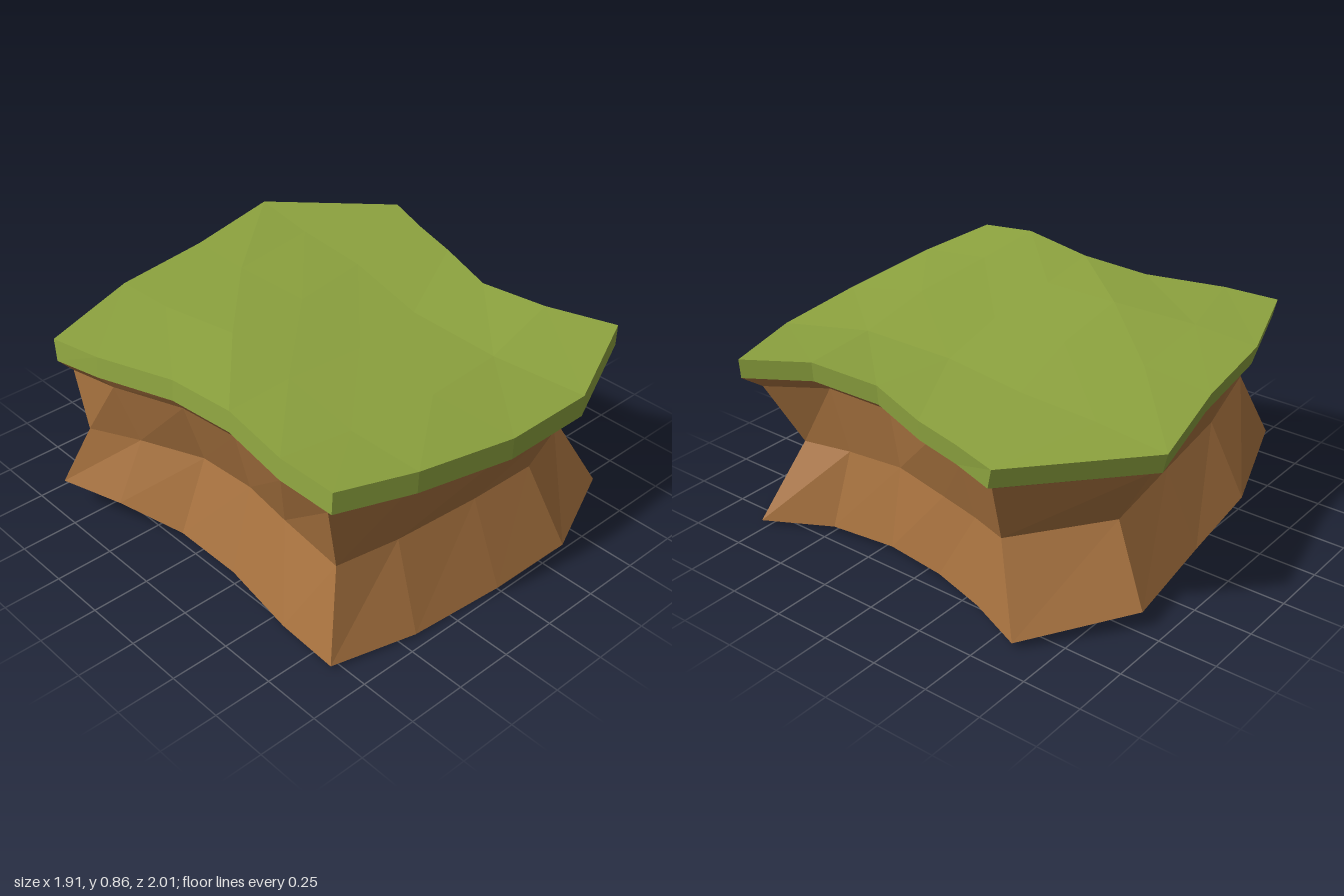
import * as THREE from 'three';

const COLS = 4, ROWS = 5; // grid cells across (x) and deep (z)

// Outlines run from the front right corner (-x,+z) counterclockwise seen from above:
// 4 front steps, 5 along +x, 4 back, 5 along -x.
const outline = [
  [-0.79, 0.87], [-0.45, 0.95], [0, 1], [0.43, 0.98],
  [0.87, 0.79], [0.74, 0.51], [0.71, 0.19], [0.82, -0.12], [0.88, -0.35],
  [0.95, -0.57], [0.5, -1], [0.02, -0.88], [-0.44, -0.81],
  [-0.91, -0.64], [-0.87, -0.4], [-0.76, -0.06], [-0.745, 0.26], [-0.81, 0.62],
];
const topY = [0.84, 0.8, 0.75, 0.73, 0.78, 0.8, 0.785, 0.78, 0.785,
  0.79, 0.8, 0.805, 0.81, 0.81, 0.82, 0.83, 0.845, 0.86];
const waistXZ = [
  [-0.68, 0.77], [-0.4, 0.81], [0, 0.83], [0.32, 0.83],
  [0.66, 0.67], [0.62, 0.45], [0.6, 0.19], [0.67, -0.1], [0.72, -0.3],
  [0.775, -0.47], [0.42, -0.75], [0, -0.69], [-0.43, -0.63],
  [-0.87, -0.51], [-0.76, -0.31], [-0.64, -0.05], [-0.62, 0.21], [-0.65, 0.45],
];
const footXZ = [
  [-0.79, 0.86], [-0.43, 0.95], [0, 0.98], [0.4, 0.98],
  [0.83, 0.79], [0.69, 0.5], [0.66, 0.2], [0.71, -0.1], [0.8, -0.37],
  [0.88, -0.6], [0.48, -0.91], [0, -0.845], [-0.43, -0.8],
  [-0.96, -0.61], [-0.87, -0.34], [-0.75, -0.08], [-0.73, 0.22], [-0.78, 0.58],
];
const footY = [0.015, 0.01, 0.005, 0, 0.01, 0.02, 0.025, 0.04, 0.055,
  0.03, 0.08, 0.09, 0.11, 0.14, 0.13, 0.06, 0.03, 0.02];

// Gentle lumps of the grass, front row to back row
const bumps = [
  [0.0, 0.015, 0.005], [0.01, 0.015, 0.01], [0.035, 0.035, 0.02], [0.015, 0.025, 0.01],
];

const V = (x, y, z) => new THREE.Vector3(x, y, z);

// Faceted wall joining a lower ring to an upper ring
function wall(out, low, high) {
  low.forEach((a, i) => {
    const j = (i + 1) % low.length;
    out.push(a, low[j], high[j], a, high[j], high[i]);
  });
}

// Surface filling a ring, blended from its four sides
function patch(out, ring, faceDown, lumps) {
  const n = ring.length;
  const front = i => ring[i], back = i => ring[2 * COLS + ROWS - i];
  const right = j => ring[COLS + j], left = j => ring[(n - j) % n];
  const mix = (a, b, t) => a.clone().lerp(b, t);
  const point = (i, j) => {
    if (j === 0) return front(i);
    if (j === ROWS) return back(i);
    if (i === 0) return left(j);
    if (i === COLS) return right(j);
    const u = i / COLS, v = j / ROWS;
    const corners = mix(mix(front(0), front(COLS), u), mix(back(0), back(COLS), u), v);
    const p = mix(front(i), back(i), v).add(mix(left(j), right(j), u)).sub(corners);
    if (lumps) p.y += lumps[j - 1][i - 1];
    return p;
  };
  for (let j = 0; j < ROWS; j++) {
    for (let i = 0; i < COLS; i++) {
      const a = point(i, j), b = point(i + 1, j), c = point(i + 1, j + 1), d = point(i, j + 1);
      if (faceDown) out.push(a, c, b, a, d, c);
      else out.push(a, b, c, a, c, d);
    }
  }
}

function facetedMesh(name, points, color) {
  const geometry = new THREE.BufferGeometry().setFromPoints(points);
  geometry.computeVertexNormals();
  const mesh = new THREE.Mesh(geometry, new THREE.MeshStandardMaterial({ color, flatShading: true }));
  mesh.name = name;
  return mesh;
}

export function createModel() {
  const model = new THREE.Group();
  model.name = 'grassyRockPlatform';

  const top = outline.map(([x, z], i) => V(x, topY[i], z));
  const rim = outline.map(([x, z], i) => V(x - 0.01, topY[i] - 0.088, z < -0.5 ? z + 0.025 : z + 0.005));
  const ledge = outline.map(([x, z], i) => V(x * 0.94 - 0.02, topY[i] - 0.132, z * 0.92 + 0.015));
  const waist = waistXZ.map(([x, z]) => V(x, 0.39 - 0.02 * x - 0.025 * z, z));
  const foot = footXZ.map(([x, z], i) => V(x, footY[i], z));

  // Grass slab: lumpy top and upright edge
  const grass = [];
  patch(grass, top, false, bumps);
  wall(grass, rim, top);
  model.add(facetedMesh('grassTop', grass, 0x8da33f));

  // Earth: overhanging lip, pinched sides and underside
  const earth = [];
  wall(earth, ledge, rim);
  wall(earth, waist, ledge);
  wall(earth, foot, waist);
  patch(earth, foot, true);
  model.add(facetedMesh('earthBase', earth, 0xaa7440));

  return model;
}
